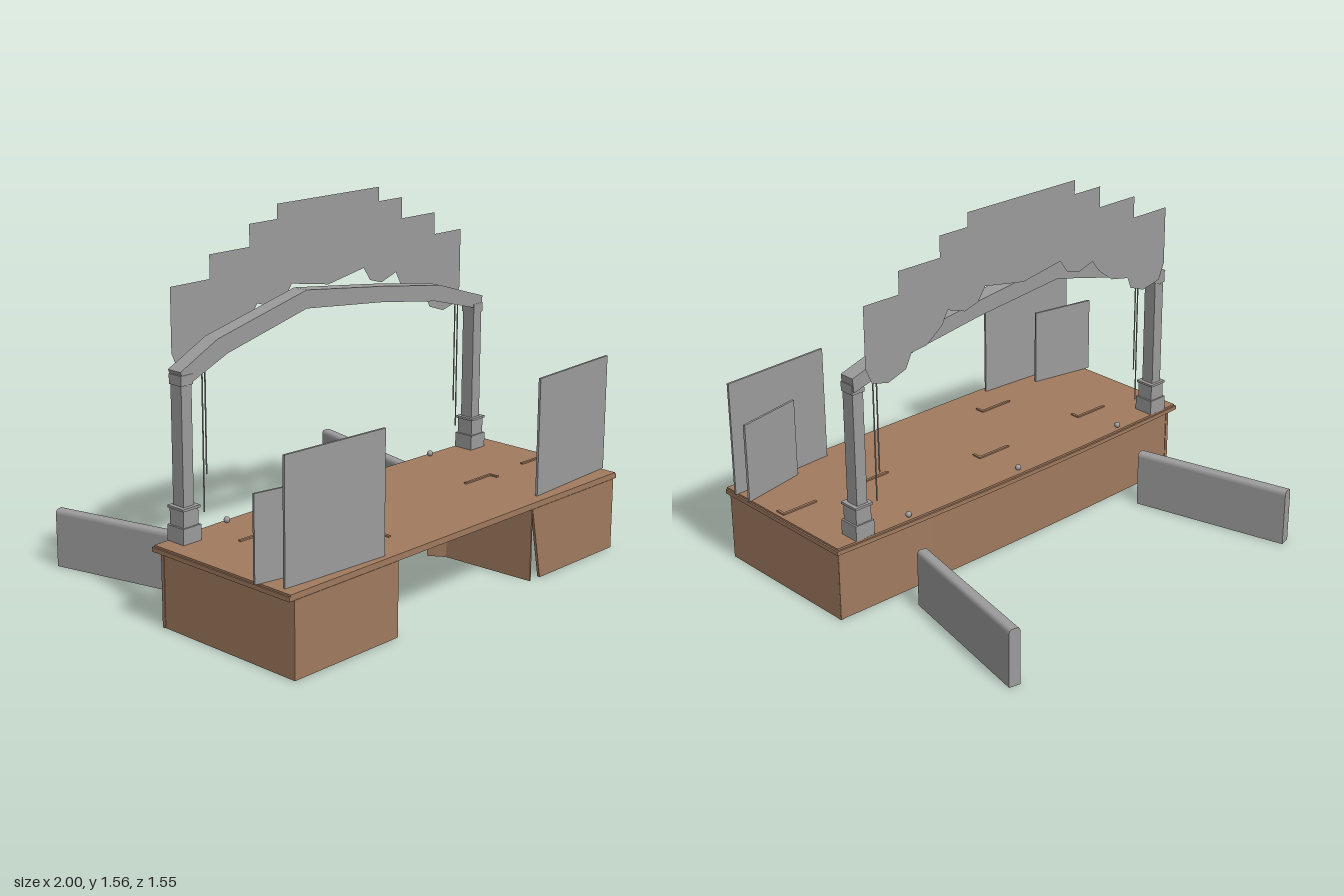
import * as THREE from 'three';

const wood = new THREE.MeshStandardMaterial({ color: 0xa07a5e, side: THREE.DoubleSide });
wood.name = 'brownWood';
const grey = new THREE.MeshStandardMaterial({ color: 0x9b9b9b, side: THREE.DoubleSide });
grey.name = 'plainGrey';

export function createModel() {
  const model = new THREE.Group();
  model.name = 'theatreStage';

  const add = (name, geometry, material, x = 0, y = 0, z = 0) => {
    const mesh = new THREE.Mesh(geometry, material);
    mesh.name = name;
    mesh.position.set(x, y, z);
    model.add(mesh);
    return mesh;
  };
  const box = (name, w, h, d, material, x, y, z) =>
    add(name, new THREE.BoxGeometry(w, h, d), material, x, y, z);
  const shapeOf = (points) => new THREE.Shape(points.map(([x, y]) => new THREE.Vector2(x, y)));
  const extrude = (shape, depth) =>
    new THREE.ExtrudeGeometry(shape, { depth, bevelEnabled: false, curveSegments: 6 });

  // Upright slab standing along a line on the ground plan
  const slab = (name, [x1, z1], [x2, z2], y0, y1, thick, material) => {
    const mesh = box(name, Math.hypot(x2 - x1, z2 - z1), y1 - y0, thick, material,
      (x1 + x2) / 2, (y0 + y1) / 2, (z1 + z2) / 2);
    mesh.rotation.y = Math.atan2(z1 - z2, x2 - x1);
    return mesh;
  };

  // Deck plan with a gently bowed back edge
  const bow = (halfWidth, ends, middle) => {
    const points = [];
    for (let i = 0; i <= 16; i++) {
      const t = -1 + i / 8;
      points.push([t * halfWidth, middle + (ends - middle) * t * t]);
    }
    return points;
  };
  const layer = (name, halfWidth, ends, middle, front, y0, y1) => {
    const plan = shapeOf([...bow(halfWidth, ends, middle), [halfWidth, front], [-halfWidth, front]]);
    const mesh = add(name, extrude(plan, y1 - y0), wood, 0.003, y1, 0);
    mesh.rotation.x = Math.PI / 2;
  };
  layer('deck', 0.98, 0.035, 0.014, 0.77, 0.322, 0.335);
  layer('deckNosing', 0.987, 0.028, 0.006, 0.77, 0.309, 0.327);

  // Hollow body: bowed back wall and side walls
  const back = bow(0.965, 0.055, 0.04);
  const backPlan = shapeOf([...back, ...back.map(([x, z]) => [x, z + 0.015]).reverse()]);
  add('backWall', extrude(backPlan, 0.31), wood, 0.003, 0.31, 0).rotation.x = Math.PI / 2;
  box('leftSideWall', 0.015, 0.31, 0.72, wood, 0.96, 0.155, 0.412);
  box('rightSideWall', 0.015, 0.31, 0.72, wood, -0.952, 0.155, 0.412);

  // Front walls, the one on the left cut at a slant
  add('leftFrontWall', extrude(shapeOf([[0.47, 0], [0.967, 0], [0.967, 0.31], [0.41, 0.31]]), 0.012),
    wood, 0, 0, 0.76);
  box('rightFrontWall', 0.55, 0.31, 0.012, wood, -0.684, 0.155, 0.766);

  // Folded walls beside the central recess
  for (const s of [-1, 1]) {
    const path = [[0.409, 0.77], [0.385, 0.34], [0.34, 0.27]];
    for (let i = 0; i < 2; i++) {
      const [a, b] = [path[i], path[i + 1]];
      slab('recessWall', [s * a[0], a[1]], [s * b[0], b[1]], 0, 0.31, 0.008, wood);
    }
  }

  // Thin plates on the deck
  for (const [x, z] of [[-0.64, 0.24], [-0.04, 0.24], [-0.37, 0.58], [0.5, 0.41], [0.88, 0.41]]) {
    box('deckPlate', 0.17, 0.006, 0.012, wood, x, 0.338, z);
    box('deckPlateEnd', 0.012, 0.006, 0.04, wood, x + 0.08, 0.338, z + 0.02);
  }

  // Footlights along the back edge
  for (const x of [-0.61, 0, 0.61]) {
    add('footlight', new THREE.SphereGeometry(0.013, 10, 8), grey, x, 0.347, 0.045);
  }

  // Columns on stepped bases
  for (const [side, x] of [['right', -0.86], ['left', 0.846]]) {
    box(side + 'ColumnPlinth', 0.092, 0.065, 0.092, grey, x, 0.3675, 0.076);
    box(side + 'ColumnBase', 0.076, 0.075, 0.078, grey, x, 0.4375, 0.076);
    box(side + 'ColumnBaseCap', 0.088, 0.01, 0.09, grey, x, 0.473, 0.076);
    box(side + 'ColumnShaft', 0.052, 0.52, 0.06, grey, x, 0.735, 0.074);
    box(side + 'ColumnNeck', 0.06, 0.04, 0.068, grey, x, 0.975, 0.074);
  }

  // Uneven arch beam
  const beam = shapeOf([
    [-0.89, 1.01], [-0.86, 0.95], [-0.65, 1.04], [-0.22, 1.145], [0.22, 1.1], [0.56, 1.05], [0.87, 0.965],
    [0.875, 1.025], [0.59, 1.115], [0.22, 1.167], [-0.22, 1.22], [-0.70, 1.105],
  ]);
  add('archBeam', extrude(beam, 0.07), grey, 0, 0, 0.036);

  // Stepped curtain with a ragged lower edge
  const curtain = shapeOf([
    [-0.85, 1.06], [-0.82, 0.99], [-0.72, 0.97], [-0.64, 1.0], [-0.62, 1.05], [-0.52, 1.07], [-0.44, 1.13],
    [-0.40, 1.18], [-0.32, 1.155], [-0.25, 1.175], [-0.21, 1.23], [0, 1.195], [0.21, 1.232], [0.25, 1.175],
    [0.32, 1.155], [0.41, 1.185], [0.44, 1.13], [0.52, 1.07], [0.60, 1.06], [0.63, 1.0], [0.72, 0.97],
    [0.80, 0.99], [0.83, 1.06], [0.83, 1.315], [0.655, 1.315], [0.655, 1.41], [0.445, 1.41], [0.445, 1.5],
    [0.30, 1.5], [0.30, 1.56], [-0.29, 1.56], [-0.29, 1.5], [-0.44, 1.5], [-0.44, 1.41], [-0.65, 1.41],
    [-0.65, 1.315], [-0.85, 1.315],
  ]);
  add('curtain', new THREE.ShapeGeometry(curtain), grey, 0, 0, 0.012);

  // Hanging ropes
  for (const [x, low] of [[-0.75, 0.42], [-0.735, 0.57], [0.732, 0.57], [0.75, 0.45]]) {
    add('rope', new THREE.CylinderGeometry(0.003, 0.003, 1.01 - low, 6), grey, x, (1.01 + low) / 2, 0.07);
  }

  // Flat scenery panels
  slab('rightTallPanel', [-0.95, 0.71], [-0.455, 0.74], 0.335, 0.835, 0.01, grey);
  slab('rightLowPanel', [-0.998, 0.605], [-0.70, 0.66], 0.335, 0.68, 0.01, grey);
  slab('leftTallPanel', [0.498, 0.72], [0.998, 0.69], 0.335, 0.835, 0.01, grey);
  slab('leftLowPanel', [0.70, 0.663], [0.995, 0.6], 0.335, 0.68, 0.01, grey);

  // Free-standing walls with rounded tops
  const section = new THREE.Shape();
  section.moveTo(-0.025, 0);
  section.lineTo(0.025, 0);
  section.lineTo(0.025, 0.232);
  section.quadraticCurveTo(0.023, 0.25, 0.008, 0.25);
  section.lineTo(-0.008, 0.25);
  section.quadraticCurveTo(-0.023, 0.25, -0.025, 0.232);
  for (const [name, x1, x2] of [['rightFreeWall', -0.637, -0.81], ['leftFreeWall', 0.645, 0.795]]) {
    const [dx, dz] = [x2 - x1, -0.69];
    const wall = add(name, extrude(section, Math.hypot(dx, dz)), grey, x1, 0, -0.077);
    wall.rotation.y = Math.atan2(dx, dz);
  }

  return model;
}
